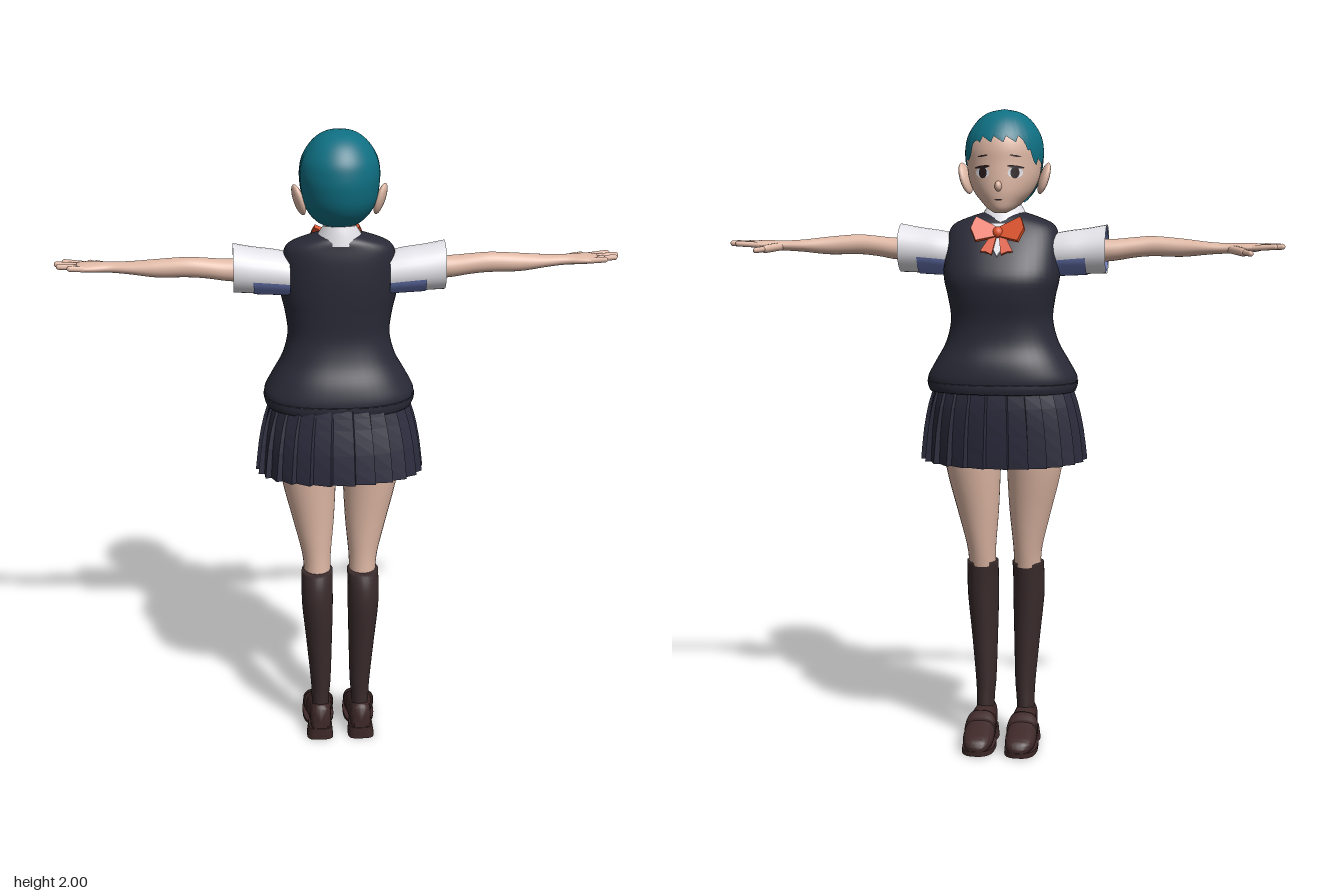
import * as THREE from 'three';
import { toCreasedNormals } from 'three/addons/utils/BufferGeometryUtils.js';

const paint = (name, color, side = THREE.FrontSide) =>
  Object.assign(new THREE.MeshStandardMaterial({ color, side }), { name });

// Surface from a grid of points P(i, j); closed joins the last column to the first
function grid(nu, nv, P, closed = true) {
  const pos = [], idx = [], cols = closed ? nv : nv + 1;
  for (let i = 0; i <= nu; i++) for (let j = 0; j < cols; j++) pos.push(...P(i, j));
  for (let i = 0; i < nu; i++) for (let j = 0; j < nv; j++) {
    const k = (j + 1) % cols, a = i * cols, b = a + cols;
    idx.push(a + j, b + j, b + k, a + j, b + k, a + k);
  }
  const g = new THREE.BufferGeometry();
  g.setAttribute('position', new THREE.Float32BufferAttribute(pos, 3));
  g.setIndex(idx);
  g.computeVertexNormals();
  return g;
}

// Smooth interpolation between rows of numbers
function sample(rows, t) {
  const n = rows.length - 1, i = Math.min(Math.floor(t), n - 1), f = t - i;
  const [a, b, c, d] = [i - 1, i, i + 1, i + 2].map(k => rows[Math.max(0, Math.min(n, k))]);
  return b.map((v, k) => v + 0.5 * f * (c[k] - a[k] + f * (2 * a[k] - 5 * v + 4 * c[k] - d[k] + f * (3 * (v - c[k]) + d[k] - a[k]))));
}

// Point on the oval section [t, aMin, aMax, bMin, bMax]; p below 1 squares the oval
function oval([t, a0, a1, b0, b1], th, p = 1) {
  const c = Math.cos(th), s = Math.sin(th), e = v => Math.sign(v) * Math.abs(v) ** p;
  return [t, (a0 + a1) / 2 + (a1 - a0) / 2 * e(c), (b0 + b1) / 2 + (b1 - b0) / 2 * e(s)];
}
// Section axes: y -> (x, z), x -> (z, y), z -> (y, x)
const orient = { y: ([t, a, b]) => [a, t, b], x: ([t, a, b]) => [t, b, a], z: ([t, a, b]) => [b, a, t] };

function loft(rows, { axis = 'y', sides = 28, sub = 4, p = 1, caps = false, arc = null } = {}) {
  const n = (rows.length - 1) * sub, extra = caps ? 1 : 0;
  const [from, to] = arc || [0, Math.PI * 2];
  return grid(n + 2 * extra, sides, (i, j) => {
    const r = sample(rows, Math.max(0, Math.min(n, i - extra)) / sub);
    const end = caps && (i === 0 || i === n + 2);
    if (end) { r[1] = r[2] = (r[1] + r[2]) / 2; r[3] = r[4] = (r[3] + r[4]) / 2; }
    return orient[axis](oval(r, from + (to - from) * j / sides, p));
  }, !arc);
}

function capsule(a, b, r) {
  const A = new THREE.Vector3(...a), d = new THREE.Vector3(...b).sub(A);
  const g = new THREE.CapsuleGeometry(r, d.length(), 4, 10);
  g.applyQuaternion(new THREE.Quaternion().setFromUnitVectors(new THREE.Vector3(0, 1, 0), d.clone().normalize()));
  return g.translate(...A.addScaledVector(d, 0.5).toArray());
}

function mirrored(g) {
  const m = g.clone().scale(-1, 1, 1);
  const src = m.index ? [...m.index.array] : [...Array(m.attributes.position.count).keys()];
  for (let i = 0; i < src.length; i += 3) [src[i], src[i + 1]] = [src[i + 1], src[i]];
  m.setIndex(src);
  return m;
}

const sym = (t, r, b0, b1) => [t, -r, r, b0, b1];
const HEAD = [sym(1.687, 0.018, -0.105, -0.06), sym(1.70, 0.042, -0.116, 0), sym(1.72, 0.064, -0.122, 0.055),
  sym(1.75, 0.09, -0.126, 0.095), sym(1.79, 0.108, -0.126, 0.122), sym(1.84, 0.115, -0.124, 0.136),
  sym(1.88, 0.116, -0.123, 0.138), sym(1.92, 0.107, -0.112, 0.13), sym(1.96, 0.081, -0.082, 0.102),
  sym(1.985, 0.047, -0.042, 0.062), sym(1.995, 0.001, 0.007, 0.009)];
function headParam(y) {
  let lo = 0, hi = HEAD.length - 1;
  for (let k = 0; k < 24; k++) { const m = (lo + hi) / 2; if (sample(HEAD, m)[0] < y) lo = m; else hi = m; }
  return lo;
}

// Thin painted oval laid on the front of the face
function facePlate(x, y, w, h, lift, tilt = 0) {
  const g = new THREE.CircleGeometry(1, 24).rotateY(Math.PI).scale(w / 2, h / 2, 1).rotateZ(tilt).translate(x, y, 0);
  const q = g.attributes.position;
  for (let i = 0; i < q.count; i++) {
    const [, , rx, zf, zb] = sample(HEAD, headParam(q.getY(i)));
    const d = Math.sqrt(Math.max(0, 1 - (q.getX(i) / rx) ** 2));
    q.setZ(i, (zf + zb) / 2 - (zb - zf) / 2 * d - lift);
  }
  g.computeVertexNormals();
  return g;
}

export function createModel() {
  const D = THREE.DoubleSide;
  const skin = paint('skin', 0xdfb8a5), hair = paint('teal hair', 0x0f7083, D), vest = paint('navy vest', 0x2a2a38),
    skirt = paint('navy skirt', 0x2b2b3d, D), white = paint('white blouse', 0xe2e2e8, D), blue = paint('blue lining', 0x6876b2, D),
    sock = paint('brown sock', 0x3a2b2c), shoe = paint('brown shoe', 0x3e2828), orange = paint('orange bow', 0xdd5028), dark = paint('dark eye', 0x2a1c1e);
  const model = new THREE.Group();
  model.name = 'schoolgirl';
  const add = (name, geo, mat, parent = model) => {
    const m = new THREE.Mesh(geo, mat);
    m.name = name;
    parent.add(m);
    return m;
  };
  const pair = (name, geo, mat, parent) => {
    add(name + 'Left', geo, mat, parent);
    add(name + 'Right', mirrored(geo), mat, parent);
  };

  // Head, with hair as a shell ending at a jagged hairline
  add('head', loft(HEAD, { sides: 40, caps: true }), skin);
  const S = THREE.MathUtils.smoothstep, top = HEAD.length - 1;
  add('hair', grid(40, 96, (i, j) => {
    const th = j / 96 * Math.PI * 2, phi = Math.acos(-Math.sin(th));
    const jag = phi < 1.6 ? 0.018 * (j % 5) / 4 : 0;
    const low = headParam(1.897 - 0.065 * S(phi, 0.6, 1.05) - 0.11 * S(phi, 1.65, 1.85) + jag);
    const [y, x, z] = oval(sample(HEAD, low + (top - low) * i / 40), th);
    return [x * 1.035, 1.86 + (y - 1.86) * 1.035, 0.008 + (z - 0.008) * 1.035];
  }), hair);
  pair('ear', new THREE.SphereGeometry(1, 16, 12).scale(0.014, 0.05, 0.03).rotateZ(-0.3).rotateY(-0.35).translate(0.122, 1.79, 0.012), skin);
  add('nose', new THREE.SphereGeometry(1, 14, 10).scale(0.011, 0.016, 0.016).translate(0, 1.768, -0.127), skin);
  pair('eyeWhite', facePlate(0.05, 1.808, 0.044, 0.032, 0.001), white);
  pair('iris', facePlate(0.049, 1.808, 0.026, 0.034, 0.002), dark);
  pair('upperLash', facePlate(0.051, 1.825, 0.05, 0.009, 0.003, -0.12), dark);
  pair('eyebrow', facePlate(0.05, 1.858, 0.034, 0.005, 0.002, -0.15), dark);
  add('mouth', facePlate(0, 1.727, 0.026, 0.004, 0.002), dark);
  add('neck', loft([sym(1.62, 0.055, -0.04, 0.065), sym(1.68, 0.042, -0.03, 0.055), sym(1.76, 0.042, -0.035, 0.052)]), skin);

  // Collar, leaning down towards the front
  const collar = loft([sym(1.645, 0.088, -0.098, 0.082), sym(1.68, 0.066, -0.07, 0.075), sym(1.705, 0.05, -0.047, 0.068)]);
  const cp = collar.attributes.position;
  for (let i = 0; i < cp.count; i++) cp.setY(i, cp.getY(i) + 0.18 * cp.getZ(i) + 0.003);
  collar.computeVertexNormals();
  add('collar', collar, white);

  // Knitted vest with a hem band
  add('vest', loft([sym(1.145, 0.222, -0.183, 0.127), sym(1.18, 0.232, -0.19, 0.13), sym(1.23, 0.207, -0.185, 0.117),
    sym(1.29, 0.174, -0.166, 0.09), sym(1.36, 0.157, -0.165, 0.075), sym(1.43, 0.165, -0.18, 0.078),
    sym(1.49, 0.178, -0.184, 0.083), sym(1.55, 0.178, -0.157, 0.086), sym(1.61, 0.172, -0.118, 0.085),
    sym(1.65, 0.155, -0.086, 0.08), sym(1.675, 0.1, -0.062, 0.075), sym(1.69, 0.05, -0.035, 0.06)],
  { sides: 40, p: 0.85, caps: true }), vest);
  add('hemBand', loft([sym(1.14, 0.226, -0.187, 0.131), sym(1.155, 0.232, -0.191, 0.134), sym(1.17, 0.234, -0.191, 0.134)], { sides: 40, p: 0.85, caps: true }), vest);

  // Pleated skirt over dark shorts
  const pleats = 26, step = Math.PI * 2 / pleats;
  const skirtRows = [sym(0.925, 0.258, -0.19, 0.185), sym(1.02, 0.248, -0.19, 0.17), sym(1.1, 0.232, -0.187, 0.15), sym(1.16, 0.212, -0.178, 0.135)];
  const pleated = grid(6, pleats * 2, (i, j) => {
    const [y, x, z] = oval(sample(skirtRows, i / 2), (Math.floor(j / 2) + (j % 2) * 0.92) * step, 0.92);
    const k = 1 + (j % 2 ? -0.055 : 0.015) * (1 - i / 9);
    return [x * k, y + z * 0.06 * (1 - i / 6), z * k];
  }).toNonIndexed();
  pleated.computeVertexNormals();
  add('skirt', pleated, skirt);
  add('shorts', loft([sym(0.96, 0.15, -0.09, 0.09), sym(1.02, 0.19, -0.13, 0.12), sym(1.13, 0.19, -0.15, 0.12)], { caps: true }), skirt);

  // Legs, long socks and loafers
  pair('thigh', loft([[0.575, 0.03, 0.114, -0.03, 0.07], [0.64, 0.028, 0.12, -0.045, 0.068], [0.75, 0.018, 0.147, -0.068, 0.073],
    [0.86, 0.012, 0.175, -0.092, 0.083], [0.93, 0.01, 0.186, -0.104, 0.09], [1.03, 0.01, 0.19, -0.11, 0.1]]), skin);
  pair('sock', loft([[0.06, 0.038, 0.092, -0.01, 0.075], [0.14, 0.036, 0.093, -0.006, 0.073], [0.2, 0.031, 0.096, -0.005, 0.078],
    [0.34, 0.027, 0.109, -0.008, 0.093], [0.47, 0.024, 0.122, -0.018, 0.107], [0.54, 0.024, 0.123, -0.025, 0.102], [0.588, 0.023, 0.122, -0.031, 0.086]], { caps: true }), sock);
  const crease = g => toCreasedNormals(g, 0.8);
  pair('shoe', crease(loft([[-0.175, 0.012, 0.036, 0.045, 0.085], [-0.16, 0.01, 0.052, 0.03, 0.102], [-0.12, 0.01, 0.068, 0.02, 0.114],
    [-0.07, 0.01, 0.088, 0.02, 0.114], [-0.02, 0.012, 0.114, 0.026, 0.106], [0.03, 0.012, 0.122, 0.03, 0.1],
    [0.075, 0.012, 0.12, 0.033, 0.098], [0.09, 0.014, 0.11, 0.043, 0.088]], { axis: 'z', p: 0.75, caps: true })), shoe);
  pair('sole', crease(loft([[0.002, 0.016, 0.118, -0.176, 0.0], [0.018, 0.016, 0.118, -0.178, 0.015]], { p: 0.75, sub: 1, caps: true })), shoe);
  pair('heel', crease(loft([[0, 0.024, 0.11, 0.005, 0.092], [0.04, 0.028, 0.104, 0.0, 0.093]], { p: 0.55, sub: 1, caps: true })), shoe);
  pair('shoeStrap', loft([[-0.07, 0.02, 0.093, 0.017, 0.117], [-0.05, 0.02, 0.105, 0.018, 0.116], [-0.035, 0.02, 0.112, 0.021, 0.113]], { axis: 'z', p: 0.75, caps: true }), shoe);

  // Sleeves, blue inside and under the armhole
  const sleeve = (d, end = 0.32) => [[0.15, -0.082 - d, 0.06 + d, 1.495 - d, 1.622 + d], [0.2, -0.088 - d, 0.062 + d, 1.497 - d, 1.632 + d],
    [0.26, -0.088 - d, 0.062 + d, 1.5 - d, 1.64 + d], [end, -0.09 - d, 0.06 + d, 1.502 - d, 1.651 + d]];
  pair('sleeve', loft(sleeve(0), { axis: 'x' }), white);
  pair('sleeveLining', loft(sleeve(-0.005, 0.318), { axis: 'x' }), blue);
  pair('underarm', loft(sleeve(0.003).slice(0, 3), { axis: 'x', arc: [Math.PI * 1.08, Math.PI * 1.92] }), blue);

  // Arms and hands
  pair('arm', loft([[0.16, -0.045, 0.03, 1.53, 1.61], [0.32, -0.042, 0.029, 1.538, 1.606], [0.4, -0.034, 0.029, 1.55, 1.612],
    [0.46, -0.03, 0.028, 1.555, 1.616], [0.55, -0.037, 0.021, 1.554, 1.609], [0.63, -0.049, 0.008, 1.562, 1.6], [0.69, -0.053, -0.004, 1.566, 1.597],
    [0.74, -0.064, 0.006, 1.568, 1.598], [0.775, -0.066, 0.01, 1.572, 1.597], [0.79, -0.06, 0.006, 1.576, 1.594]], { axis: 'x', caps: true }), skin);
  [[-0.058, 0.828, -0.069], [-0.038, 0.85, -0.045], [-0.018, 0.842, -0.018], [0, 0.808, 0.006]].forEach(([z, x, zTip], i) =>
    pair('finger' + (i + 1), capsule([0.765, 1.584, z], [x, 1.588, zTip], 0.009), skin));
  pair('thumbBase', capsule([0.695, 1.58, -0.04], [0.735, 1.573, -0.09], 0.013), skin);
  pair('thumb', capsule([0.73, 1.574, -0.083], [0.757, 1.57, -0.122], 0.009), skin);

  // Bow and shirt front, tilted to the chest
  const bow = new THREE.Group();
  bow.name = 'bow';
  bow.position.set(0, 1.622, -0.122);
  bow.rotation.x = 0.55;
  model.add(bow);
  const slab = (pts, depth, z) => new THREE.ExtrudeGeometry(new THREE.Shape(pts.map(q => new THREE.Vector2(...q))), { depth, bevelEnabled: false }).translate(0, 0, z);
  add('shirtFront', slab([[-0.06, 0.04], [0, -0.075], [0.06, 0.04]], 0.008, -0.002), white, bow);
  pair('bowLoop', slab([[0, -0.012], [0.068, -0.036], [0.078, -0.012], [0.086, 0.004], [0.08, 0.026], [0.072, 0.046], [0, 0.014]], 0.014, -0.018).rotateY(0.2), orange, bow);
  pair('bowTail', slab([[0.002, 0], [0.014, -0.075], [0.032, -0.066], [0.05, -0.064], [0.016, 0]], 0.008, -0.014), orange, bow);
  add('bowKnot', new THREE.SphereGeometry(1, 14, 10).scale(0.016, 0.018, 0.014).translate(0, 0, -0.016), orange, bow);
  return model;
}
